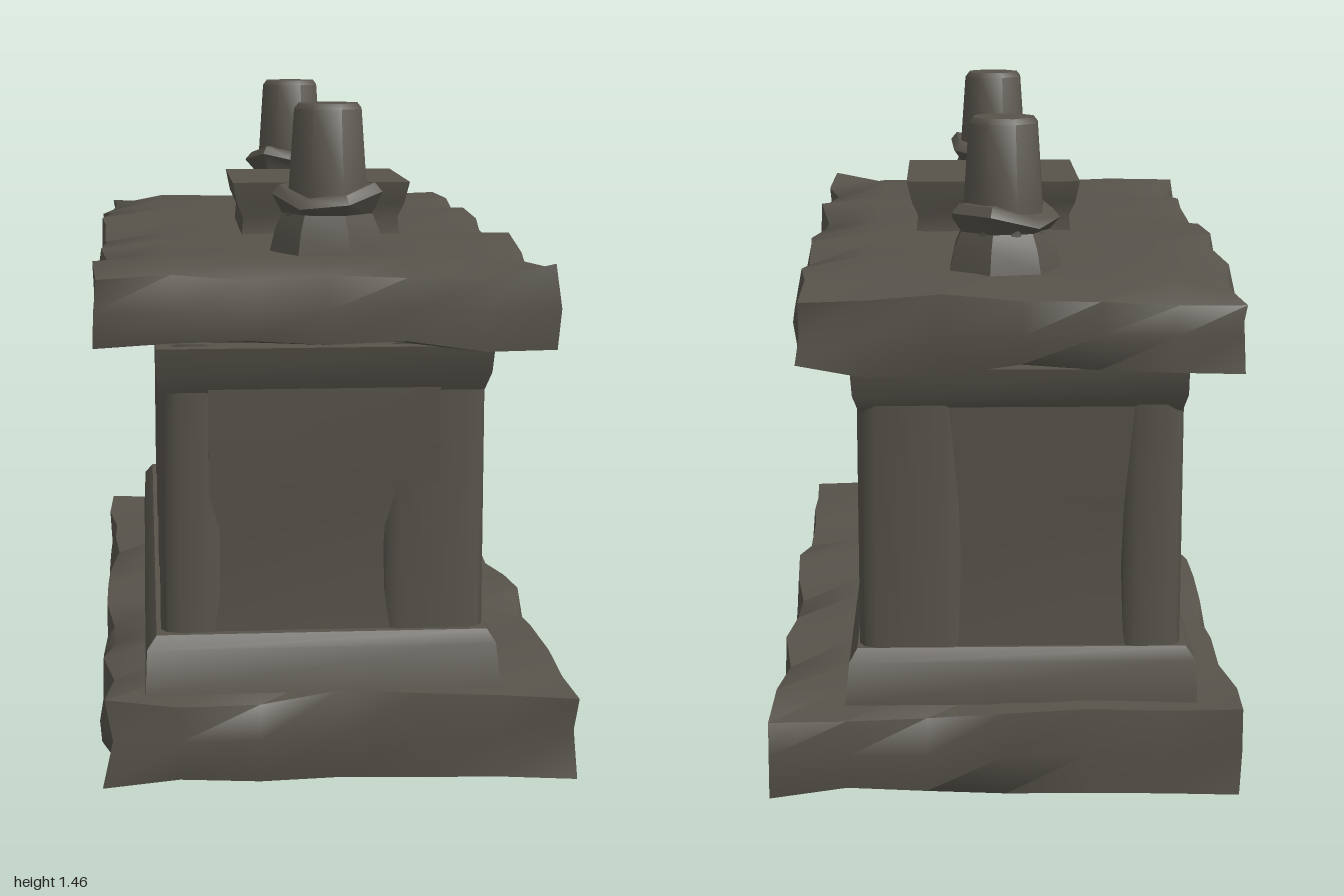
import * as THREE from 'three';
import { mergeVertices, toCreasedNormals } from 'three/addons/utils/BufferGeometryUtils.js';

const stone = new THREE.MeshStandardMaterial({ color: 0x57534b });
stone.name = 'dark stone';

// repeatable 0..1 noise from a position
function noise(x, y, z, seed) {
  const s = Math.sin(x * 37.7 + y * 91.3 + z * 53.9 + seed * 17.1) * 4375.85;
  return s - Math.floor(s);
}

function smooth(geometry, angle) {
  geometry.deleteAttribute('uv');
  geometry.deleteAttribute('normal');
  const g = mergeVertices(geometry, 1e-4);
  g.computeVertexNormals();
  return toCreasedNormals(g, angle);
}

function add(group, name, geometry, x = 0, y = 0, z = 0) {
  const mesh = new THREE.Mesh(geometry, stone);
  mesh.name = name;
  mesh.position.set(x, y, z);
  group.add(mesh);
  return mesh;
}

// slab with worn, chipped edges
function wornSlab(x0, x1, y0, y1, z0, z1, wear, seed) {
  const size = [x1 - x0, y1 - y0, z1 - z0];
  const g = new THREE.BoxGeometry(...size, 6, 2, 12);
  const p = g.attributes.position;
  for (let i = 0; i < p.count; i++) {
    const v = [p.getX(i), p.getY(i), p.getZ(i)];
    const edge = v.map((c, k) => Math.abs(Math.abs(c) - size[k] / 2) < 1e-4);
    const r = v.map(c => Math.round(c * 1000) / 1000);
    const onEdge = edge.filter(Boolean).length > 1;
    const moved = v.map((c, k) => {
      if (!edge[k]) return c;
      const n = noise(r[0], r[1], r[2], seed + k);
      return c - Math.sign(c) * n * (onEdge ? wear : wear * 0.25);
    });
    p.setXYZ(i, ...moved);
  }
  g.translate((x0 + x1) / 2, (y0 + y1) / 2, (z0 + z1) / 2);
  return smooth(g, 1.2);
}

// box lofted through levels [y, x0, x1, z0, z1]
function loft(levels) {
  const n = levels.length - 1;
  const g = new THREE.BoxGeometry(1, 1, 1, 1, n, 1);
  const p = g.attributes.position;
  for (let i = 0; i < p.count; i++) {
    const [y, x0, x1, z0, z1] = levels[Math.round((p.getY(i) + 0.5) * n)];
    p.setXYZ(i, p.getX(i) < 0 ? x0 : x1, y, p.getZ(i) < 0 ? z0 : z1);
  }
  return smooth(g, 0.7);
}

// side wall pierced by three arches with splayed edges
function archedWall(depth) {
  const b = 0.035;
  const wall = new THREE.Shape([[-0.85, 0.2], [0.85, 0.2], [0.85, 0.92], [-0.85, 0.92]]
    .map(a => new THREE.Vector2(...a)));
  const half = [[0.185, 0.32], [0.195, 0.48], [0.195, 0.64], [0.165, 0.71], [0.1, 0.785], [0.02, 0.82]];
  for (const c of [-0.53, 0, 0.53]) {
    const outline = [...half, ...half.slice().reverse().map(([u, y]) => [-u, y])];
    wall.holes.push(new THREE.Path(outline.map(([u, y]) => new THREE.Vector2(
      c + u * (1 + b / 0.195), y + (y < 0.4 ? -b : y > 0.6 ? b * (y - 0.6) / 0.22 : 0)))));
  }
  const g = new THREE.ExtrudeGeometry(wall, {
    depth, bevelEnabled: true, bevelThickness: 0.04, bevelSize: b, bevelSegments: 2, steps: 1
  });
  return smooth(g, 0.9);
}

// stubby candle with a spread of wax around its foot
function candle(name, height, turn) {
  const group = new THREE.Group();
  group.name = name;
  const wax = [[0, 0], [0.13, 0], [0.118, 0.05], [0.102, 0.085], [0.125, 0.115], [0.108, 0.135], [0, 0.135]];
  const stem = [[0, 0.08], [0.098, 0.08], [0.092, 0.15], [0.08, height - 0.012], [0.07, height], [0, height + 0.002]];
  const lathe = (pts, sides) => toCreasedNormals(
    new THREE.LatheGeometry(pts.map(a => new THREE.Vector2(...a)), sides), 0.8);

  // uneven drips on the wax foot
  const foot = new THREE.LatheGeometry(wax.map(a => new THREE.Vector2(...a)), 7);
  const p = foot.attributes.position;
  for (let i = 0; i < p.count; i++) {
    const a = Math.atan2(p.getZ(i), p.getX(i));
    if (p.getY(i) > 0.1) p.setY(i, p.getY(i) + 0.018 * Math.sin(a * 2 + turn));
  }
  add(group, 'waxFoot', smooth(foot, 0.8)).rotation.y = turn;
  add(group, 'candleStem', lathe(stem, 8)).rotation.y = turn;
  return group;
}

export function createModel() {
  const model = new THREE.Group();
  model.name = 'altar';

  // base and table slabs
  add(model, 'baseSlab', wornSlab(-0.522, 0.522, 0, 0.21, -0.98, 0.98, 0.035, 1));
  add(model, 'tableSlab', wornSlab(-0.522, 0.462, 0.945, 1.132, -1, 1, 0.035, 5));

  // body between the slabs
  add(model, 'core', loft([
    [0.2, -0.28, 0.22, -0.885, 0.885], [0.5, -0.28, 0.22, -0.865, 0.87],
    [0.65, -0.28, 0.22, -0.875, 0.885], [0.95, -0.28, 0.22, -0.885, 0.89]
  ]));
  add(model, 'plinth', loft([
    [0.2, -0.42, 0.352, -0.915, 0.94], [0.295, -0.416, 0.342, -0.905, 0.92],
    [0.322, -0.395, 0.325, -0.885, 0.9]
  ]));
  add(model, 'cornice', loft([
    [0.85, -0.38, 0.315, -0.875, 0.885], [0.89, -0.39, 0.328, -0.9, 0.905],
    [0.95, -0.39, 0.332, -0.912, 0.92]
  ]));

  // arched walls on both long sides
  const wallL = add(model, 'leftArchedWall', archedWall(0.15), 0.13);
  wallL.rotation.y = Math.PI / 2;
  const wallR = add(model, 'rightArchedWall', archedWall(0.06), -0.285);
  wallR.rotation.y = -Math.PI / 2;

  // block lying on the table
  add(model, 'tableBlock', loft([
    [1.11, -0.18, 0.2, -0.125, 0.285], [1.165, -0.175, 0.195, -0.12, 0.28],
    [1.2, -0.19, 0.21, -0.135, 0.292], [1.25, -0.2, 0.222, -0.142, 0.3]
  ]));

  // candles at each end
  const front = candle('frontCandle', 0.325, 0.3);
  front.position.set(-0.005, 1.128, 0.66);
  const back = candle('backCandle', 0.332, 1.1);
  back.position.set(0, 1.128, -0.66);
  model.add(front, back);

  // small pointed shard by the back candle
  const shard = new THREE.CylinderGeometry(0.014, 0.072, 0.21, 6, 2);
  const sp = shard.attributes.position;
  for (let i = 0; i < sp.count; i++) {
    const t = (sp.getY(i) + 0.105) / 0.21;
    sp.setX(i, sp.getX(i) * 0.9 + 0.02 * t);
    sp.setZ(i, sp.getZ(i) + 0.015 * t);
  }
  add(model, 'shard', smooth(shard, 0.8), 0, 1.228, -0.39);

  return model;
}
